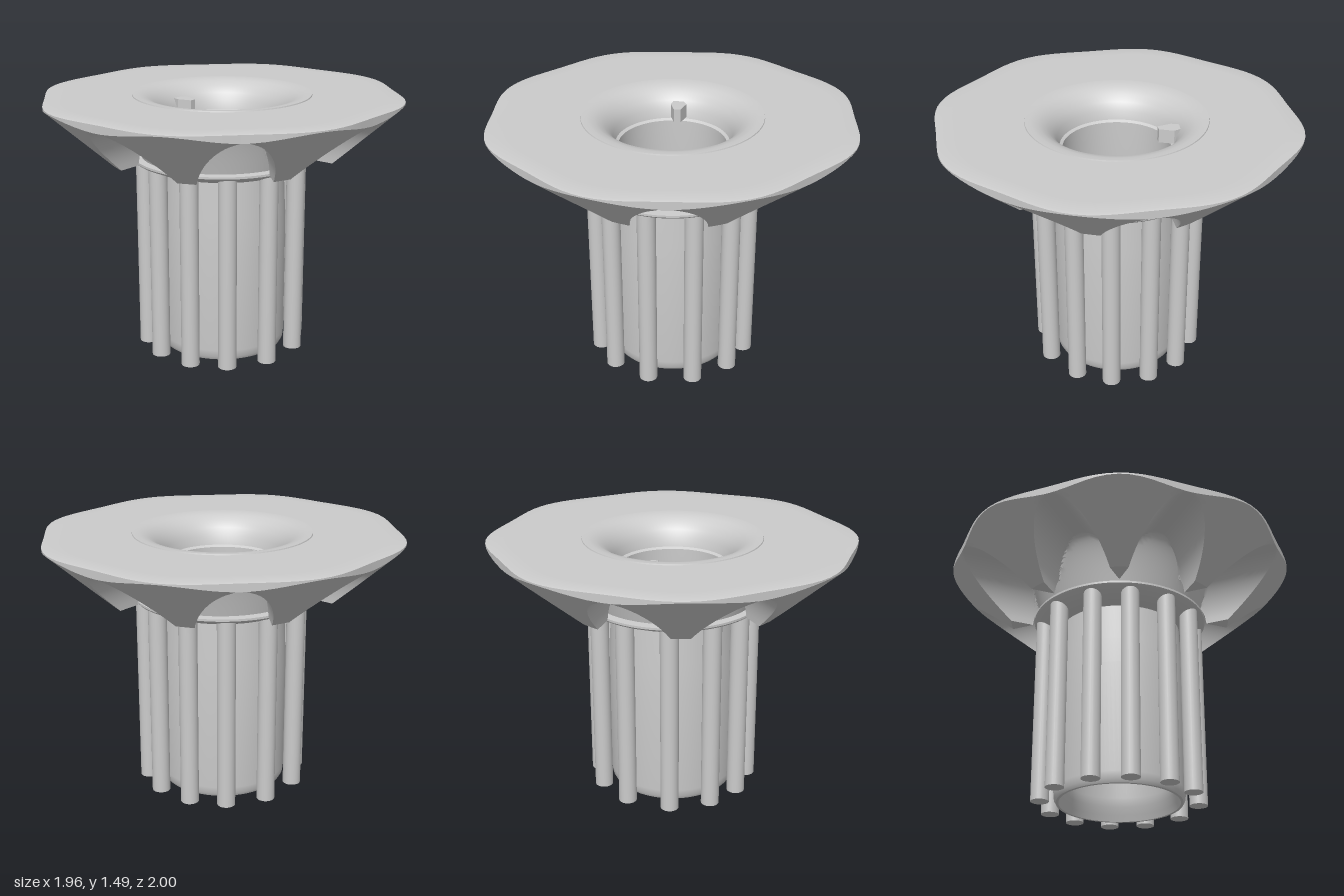
import * as THREE from 'three';
import { toCreasedNormals } from 'three/addons/utils/BufferGeometryUtils.js';

const RAD = Math.PI / 180;
const { lerp, clamp } = THREE.MathUtils;
const FOOT = 1.13, ARCH = 0.3, HALF = 0.2, INNER = 0.46, TOP = 1.48;

// rounded octagon outline
const rim = a => 1.005 - 0.02 * Math.cos(8 * a);
// conical underside of the ribs, with flat feet
const cone = r => FOOT + Math.max(0, r - 0.65) * 0.9;

// half angle of the arched recess where it breaks through the cone
function recessAngle(r) {
  const k = clamp((cone(r) - FOOT) / ARCH, 0, 1);
  const t = HALF * Math.sqrt(1 - k * k);
  return clamp(Math.asin(Math.min(1, t / r)), 2 * RAD, 22.3 * RAD);
}

// underside height: arch ceiling, limited by the core wall and by the cone
function underside(r, a) {
  const t = r * Math.sin(a) / HALF;
  const arch = FOOT + ARCH * Math.sqrt(Math.max(0, 1 - t * t));
  const core = FOOT + ARCH * Math.sin(Math.PI / 2 * clamp((r - INNER) / 0.13, 0, 1));
  return Math.max(cone(r), Math.min(arch, core));
}

function flangeGeometry() {
  const n = 14, m = 6, per = 2 * (n + m), cols = per * 8;
  const rows = [];
  for (let i = 0; i < 16; i++) rows.push({ f: 0.26 * i / 16 });
  for (let i = 0; i <= 28; i++) rows.push({ f: 0.26 + 0.74 * i / 28 });
  // rim and flat top
  rows.push({ f: 1, y: TOP - 0.005 }, { f: 0.97, y: TOP }, { f: 0.8, y: TOP }, { f: 0.05, y: TOP });

  const pos = [], index = [];
  rows.forEach(({ f, y }, i) => {
    for (let j = 0; j < cols; j++) {
      const sector = Math.floor(j / per), s = (j % per) - (n + m);
      const k = Math.abs(s), sign = Math.sign(s);
      let r = lerp(INNER, 1, f), a = 0;
      for (let pass = 0; pass < 4; pass++) {
        const edge = recessAngle(r);
        a = k <= n ? edge * Math.sin(k / n * Math.PI / 2) : lerp(edge, 22.5 * RAD, (k - n) / m);
        r = lerp(INNER, rim(a), f);
      }
      const th = sector * 45 * RAD + sign * a;
      pos.push(r * Math.sin(th) * 0.995, y ?? Math.min(underside(r, a), TOP - 0.006), r * Math.cos(th) * 1.012);
      if (i < rows.length - 1) {
        const p = i * cols + j, q = i * cols + (j + 1) % cols;
        index.push(p, q, p + cols, q, q + cols, p + cols);
      }
    }
  });
  const g = new THREE.BufferGeometry();
  g.setAttribute('position', new THREE.Float32BufferAttribute(pos, 3));
  g.setIndex(index);
  return toCreasedNormals(g, 35 * RAD);
}

function lathe(points) {
  const g = new THREE.LatheGeometry(points.map(p => new THREE.Vector2(...p)), 96);
  return toCreasedNormals(g, 32 * RAD);
}

export function createModel() {
  const model = new THREE.Group();
  const mat = new THREE.MeshStandardMaterial({ color: 0xcccccc });
  const add = (name, geometry, parent = model) => {
    const mesh = new THREE.Mesh(geometry, mat);
    mesh.name = name;
    parent.add(mesh);
    return mesh;
  };

  add('flange', flangeGeometry());

  // raised lip, funnel, bore, hollow shaft and collar in one turned profile
  add('shaft', lathe([
    [0.51, 1.47], [0.505, 1.486], [0.47, 1.484], [0.43, 1.474], [0.39, 1.45],
    [0.355, 1.415], [0.33, 1.37], [0.318, 1.32], [0.302, 1.31], [0.302, 0.13],
    [0.312, 0.08], [0.328, 0.035], [0.34, 0], [0.355, 0], [0.366, 0.02], [0.37, 0.06],
    [0.37, 0.7], [0.365, 0.85], [0.355, 1.06], [0.42, 1.075], [0.5, 1.11],
    [0.51, 1.12], [0.51, 1.132], [0.455, 1.135],
  ]));

  // key pointing into the bore
  const key = new THREE.Shape([
    [-0.41, 0.03], [-0.31, 0.07], [-0.23, 0.037], [-0.23, 0], [-0.31, -0.02], [-0.41, 0.01],
  ].map(p => new THREE.Vector2(...p)));
  const keyGeometry = new THREE.ExtrudeGeometry(key, { depth: 0.08, bevelEnabled: false });
  keyGeometry.rotateX(-Math.PI / 2);
  add('key', keyGeometry).position.y = 1.33;

  // twelve rods around the shaft
  const rods = new THREE.Group();
  rods.name = 'rods';
  model.add(rods);
  const rodGeometry = new THREE.CylinderGeometry(0.052, 0.052, 1.12, 24);
  for (const angle of [14.4, 42, 73.2]) {
    for (const sx of [-1, 1]) for (const sz of [-1, 1]) {
      const rod = add('rod', rodGeometry, rods);
      rod.position.set(sx * 0.444 * Math.sin(angle * RAD), 0.56, sz * 0.444 * Math.cos(angle * RAD));
    }
  }
  return model;
}
